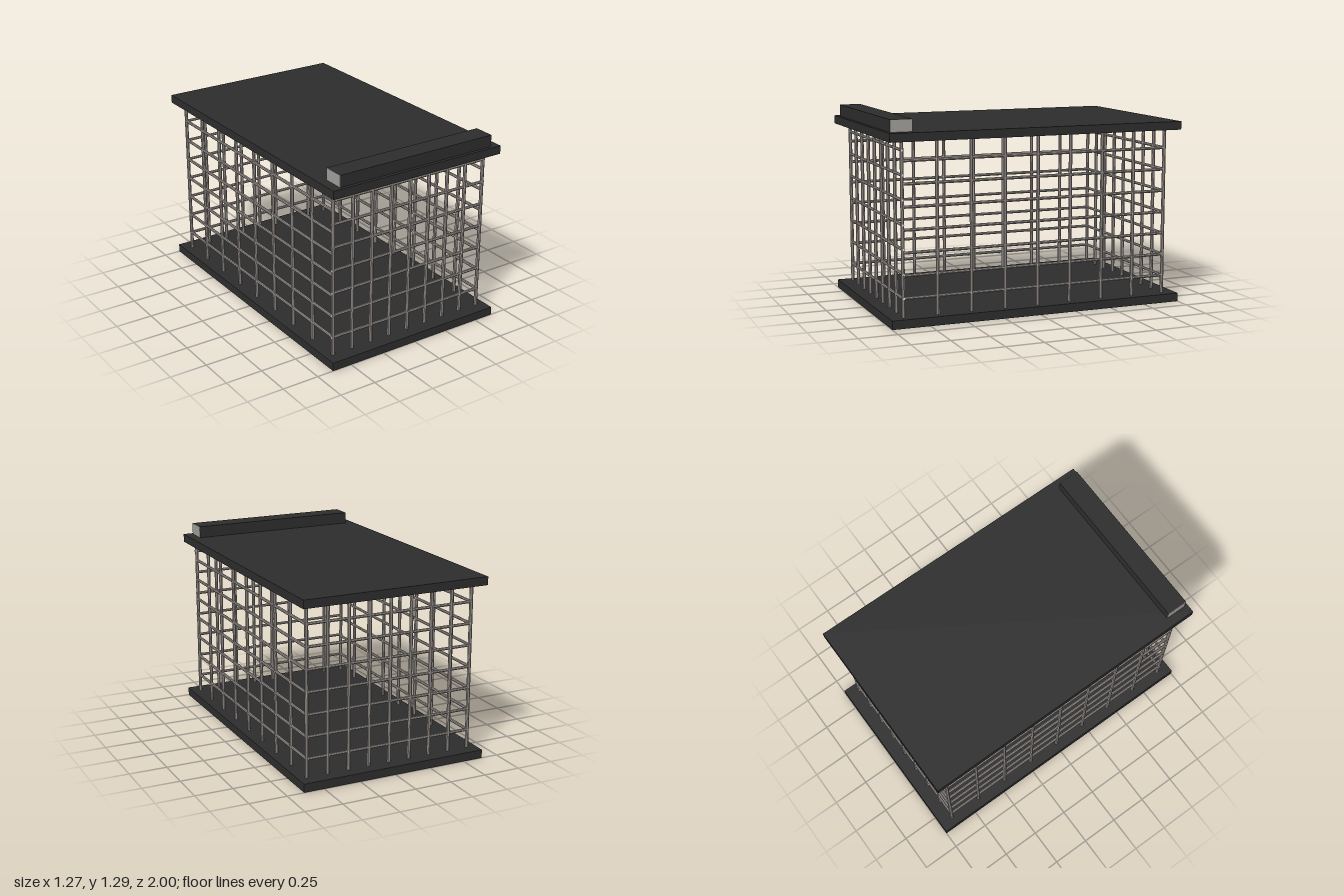
import * as THREE from 'three';

const W = 0.575, D = 0.908; // half extents of the bar cage
const BOTTOM = 0.05, TOP = 1.165;

export function createModel() {
  const model = new THREE.Group();
  const dark = new THREE.MeshStandardMaterial({ color: 0x2d2d2d });
  dark.name = 'dark panel';
  const steel = new THREE.MeshStandardMaterial({ color: 0xa39c97, flatShading: true });
  steel.name = 'steel bar';
  const endGrey = new THREE.MeshStandardMaterial({ color: 0xa19f9b });
  endGrey.name = 'light grey end';
  const pale = new THREE.MeshStandardMaterial({ color: 0xf2f2f2 });
  pale.name = 'pale cap';

  function box(name, w, h, d, x, y, z, mat, parent = model) {
    const m = new THREE.Mesh(new THREE.BoxGeometry(w, h, d), mat);
    m.name = name;
    m.position.set(x, y, z);
    parent.add(m);
  }
  function bar(parent, name, axis, length, r, x, y, z) {
    const g = new THREE.CylinderGeometry(r, r, length, 8);
    if (axis === 'x') g.rotateZ(Math.PI / 2);
    if (axis === 'z') g.rotateX(Math.PI / 2);
    const m = new THREE.Mesh(g, steel);
    m.name = name;
    m.position.set(x, y, z);
    parent.add(m);
  }
  function group(name) {
    const g = new THREE.Group();
    g.name = name;
    model.add(g);
    return g;
  }

  // Floor, roof and the header along the front edge
  box('floor', 1.272, 0.056, 2, 0, 0.028, 0, dark);
  box('roof', 1.272, 0.055, 2, 0, 1.1845, 0, dark);
  box('header', 1.146, 0.078, 0.142, 0, 1.251, 0.907, dark);
  for (const s of [-1, 1]) box('headerEnd', 0.002, 0.078, 0.142, s * 0.574, 1.251, 0.907, endGrey);

  // Upright bars: nine along each wall, corners shared
  const uprights = group('uprights');
  const midY = (BOTTOM + TOP) / 2, len = TOP - BOTTOM;
  for (const s of [-1, 1]) {
    for (let i = 0; i <= 8; i++) bar(uprights, 'upright', 'y', len, 0.012, -W + (i * W) / 4, midY, s * D);
    for (let i = 1; i < 8; i++) bar(uprights, 'upright', 'y', len, 0.012, s * W, midY, -D + (i * D) / 4);
  }

  // Horizontal bars: the front wall is spaced a little wider than the others
  const rails = group('rails');
  for (let i = 0; i < 7; i++) {
    const y = 0.176 + i * 0.1433, frontY = 0.176 + i * 0.1543;
    bar(rails, 'frontRail', 'x', 2 * W + 0.016, 0.01, 0, frontY, D);
    bar(rails, 'backRail', 'x', 2 * W + 0.016, 0.01, 0, y, -D);
    for (const s of [-1, 1]) {
      bar(rails, 'sideRail', 'z', 2 * D + 0.01, 0.01, s * W, y, 0);
      box('railCap', 0.006, 0.012, 0.012, s * (W + 0.01), frontY, D, pale, rails);
    }
  }
  return model;
}
